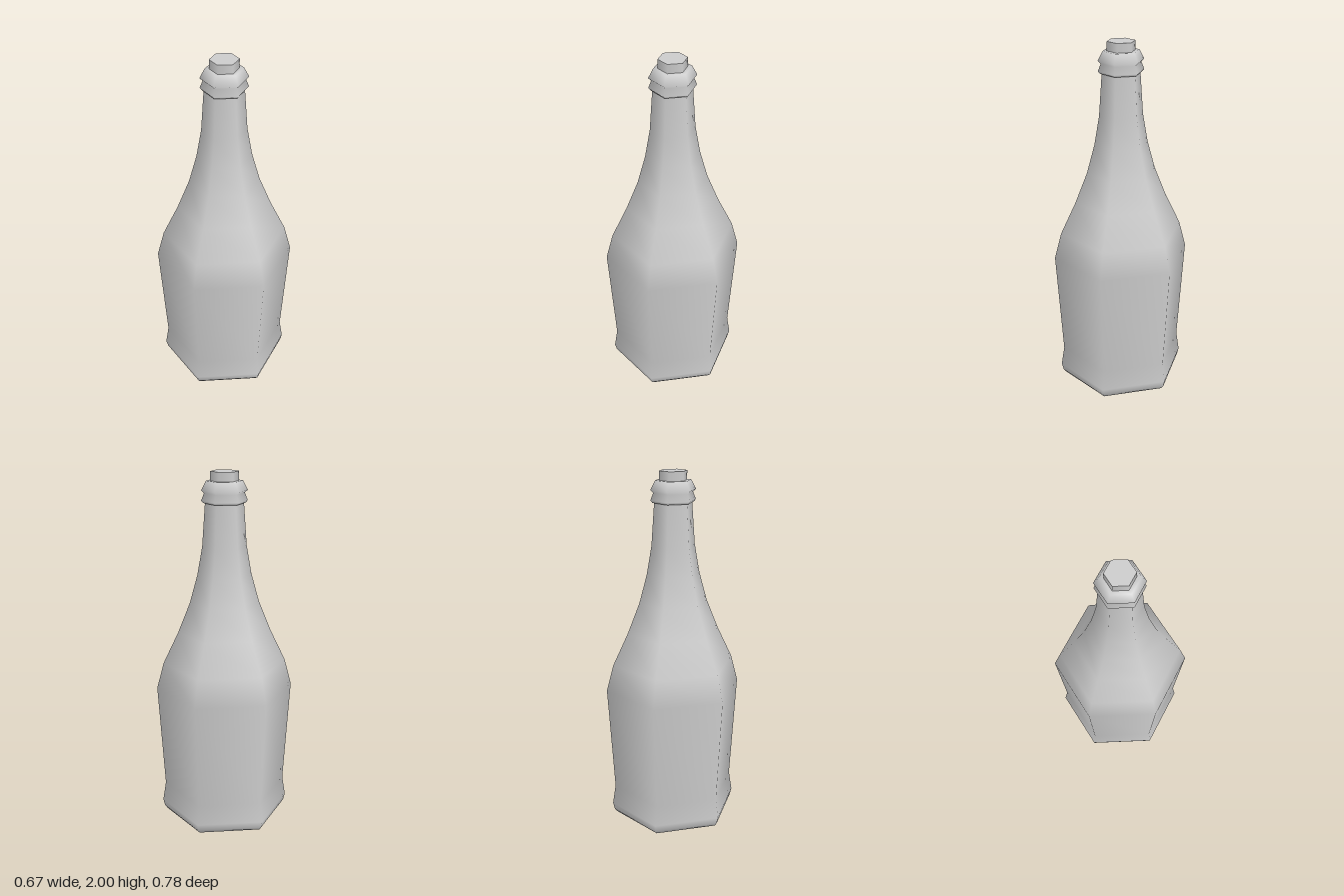
import * as THREE from 'three';

const SIDES = 6;
const material = new THREE.MeshStandardMaterial({ color: 0xcccccc });

// Six-sided turned part with a corner facing +z; profile is [radius, y] from bottom to top
function turned(name, profile) {
  const points = profile.map(([r, y]) => new THREE.Vector2(r, y));
  const mesh = new THREE.Mesh(new THREE.LatheGeometry(points, SIDES), material);
  mesh.name = name;
  return mesh;
}

export function createModel() {
  const bottle = new THREE.Group();
  bottle.name = 'bottle';

  // Base, body, shoulder and neck in one smooth skin
  bottle.add(turned('body', [
    [0, 0], [0.345, 0], [0.36, 0.02], [0.37, 0.06], [0.352, 0.175],
    [0.388, 0.78], [0.348, 0.93], [0.262, 1.11], [0.194, 1.28],
    [0.15, 1.44], [0.122, 1.6], [0.105, 1.84],
  ]));

  // Double-ridged ring around the mouth
  bottle.add(turned('lipRing', [
    [0.1, 1.832], [0.115, 1.832], [0.126, 1.845], [0.11, 1.885],
    [0.126, 1.9], [0.1, 1.95], [0.07, 1.95],
  ]));

  // Stopper standing out of the mouth
  const stopper = new THREE.Mesh(new THREE.CylinderGeometry(0.077, 0.077, 0.1, SIDES), material);
  stopper.name = 'stopper';
  stopper.position.y = 1.95;
  bottle.add(stopper);

  return bottle;
}
